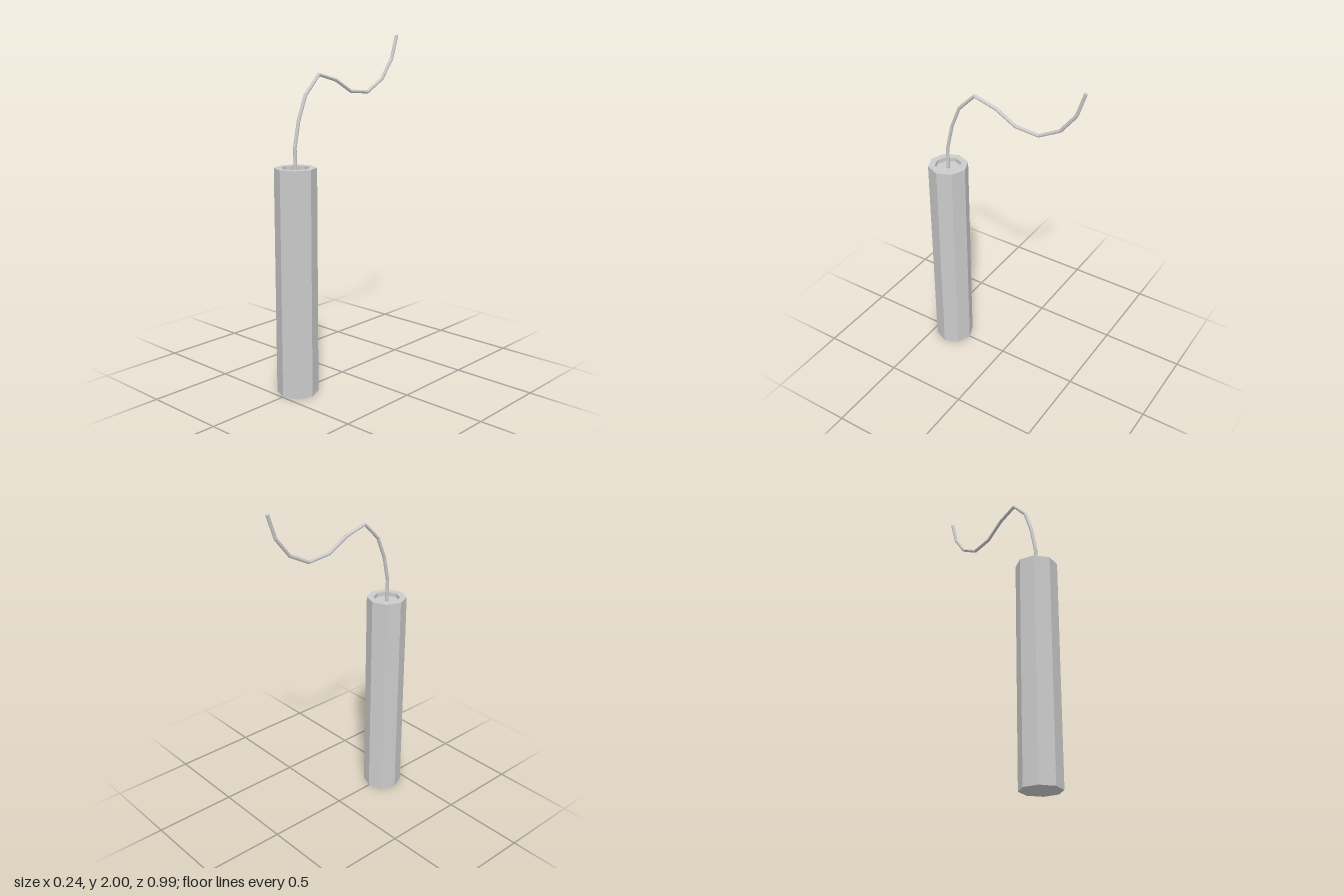
import * as THREE from 'three';

const SIDES = 8;
const material = new THREE.MeshStandardMaterial({ color: 0xcccccc, flatShading: true });

// Octagonal stick with a shallow recess in its top
function makeStick() {
  const profile = [[0, 0], [0.118, 0], [0.118, 1.3], [0.078, 1.3], [0.078, 1.275], [0, 1.275]]
    .map(([r, y]) => new THREE.Vector2(r, y));
  const stick = new THREE.Mesh(new THREE.LatheGeometry(profile, SIDES), material);
  stick.name = 'stick';
  stick.position.z = 0.377;
  return stick;
}

// Bent fuse: a capped cylinder whose rings are moved onto a path in the y-z plane
function makeFuse() {
  const path = [
    [0, 1.272, 0.377], [-0.003, 1.41, 0.377], [-0.005, 1.56, 0.343], [-0.005, 1.69, 0.289],
    [-0.005, 1.795, 0.185], [-0.005, 1.758, 0.048], [-0.005, 1.688, -0.078],
    [-0.005, 1.676, -0.222], [-0.005, 1.745, -0.35], [-0.005, 1.86, -0.44], [-0.005, 1.997, -0.485],
  ].map((p) => new THREE.Vector3(...p));
  const last = path.length - 1;
  const geometry = new THREE.CylinderGeometry(0.01, 0.01, 1, SIDES, last);
  const pos = geometry.attributes.position;
  for (let i = 0; i < pos.count; i++) {
    const k = Math.round((pos.getY(i) + 0.5) * last);
    const p = path[k];
    // Mean direction of the two neighbouring segments
    const t = new THREE.Vector3();
    if (k > 0) t.add(p.clone().sub(path[k - 1]).normalize());
    if (k < last) t.add(path[k + 1].clone().sub(p).normalize());
    t.setX(0).normalize();
    const x = pos.getX(i), z = pos.getZ(i);
    pos.setXYZ(i, p.x + x, p.y - z * t.z, p.z + z * t.y);
  }
  geometry.computeVertexNormals();
  const fuse = new THREE.Mesh(geometry, material);
  fuse.name = 'fuse';
  return fuse;
}

export function createModel() {
  const model = new THREE.Group();
  model.name = 'fusedStick';
  model.add(makeStick(), makeFuse());
  return model;
}
